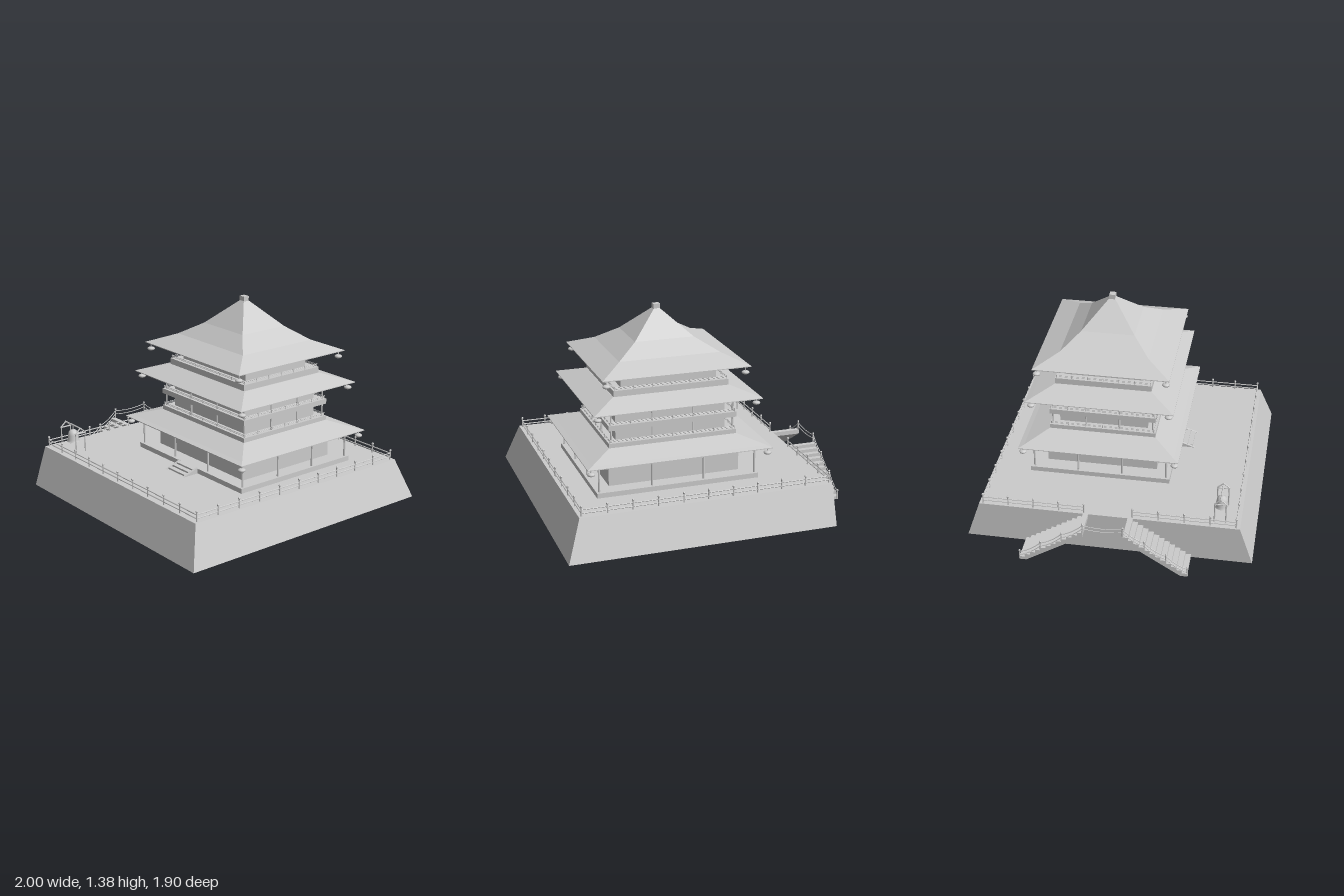
import * as THREE from 'three';

const mat = new THREE.MeshStandardMaterial({ color: 0xcccccc, flatShading: true });
const smooth = new THREE.MeshStandardMaterial({ color: 0xcccccc, side: THREE.DoubleSide });
const CX = 0.17, CZ = -0.13; // tower axis

function add(parent, name, geo, x = 0, y = 0, z = 0, m = mat) {
  const mesh = new THREE.Mesh(geo, m);
  mesh.name = name;
  mesh.position.set(x, y, z);
  parent.add(mesh);
  return mesh;
}

function group(parent, name, x = 0, y = 0, z = 0) {
  const g = new THREE.Group();
  g.name = name;
  g.position.set(x, y, z);
  parent.add(g);
  return g;
}

// Closed solid through horizontal rectangles [x0, x1, z0, z1, y], bottom to top
function loft(rects) {
  const rings = rects.map(([x0, x1, z0, z1, y]) =>
    [[x0, y, z1], [x1, y, z1], [x1, y, z0], [x0, y, z0]]);
  const pos = [];
  const quad = (a, b, c, d) => pos.push(...a, ...b, ...c, ...a, ...c, ...d);
  for (let r = 0; r + 1 < rings.length; r++) {
    for (let i = 0; i < 4; i++) {
      const j = (i + 1) % 4;
      quad(rings[r][i], rings[r][j], rings[r + 1][j], rings[r + 1][i]);
    }
  }
  const [a, b, c, d] = rings[0];
  quad(d, c, b, a);
  quad(...rings[rings.length - 1]);
  const geo = new THREE.BufferGeometry();
  geo.setAttribute('position', new THREE.Float32BufferAttribute(pos, 3));
  geo.computeVertexNormals();
  return geo;
}

// Same, centred on the axis, from [halfX, halfZ, y]
const tier = (rows) => loft(rows.map(([hx, hz, y]) => [-hx, hx, -hz, hz, y]));

// Round bar between two points
function bar(parent, name, a, b, r) {
  const from = new THREE.Vector3(...a), to = new THREE.Vector3(...b);
  const dir = to.clone().sub(from);
  const mesh = add(parent, name, new THREE.CylinderGeometry(r, r, dir.length(), 6));
  mesh.position.copy(from).add(to).multiplyScalar(0.5);
  mesh.quaternion.setFromUnitVectors(new THREE.Vector3(0, 1, 0), dir.normalize());
}

// Straight railing with evenly spaced, ball-topped posts
function railing(parent, a, b, y, n, h, r, levels) {
  const g = group(parent, 'railing');
  for (let i = 0; i <= n; i++) {
    const x = a[0] + (b[0] - a[0]) * i / n, z = a[1] + (b[1] - a[1]) * i / n;
    bar(g, 'railPost', [x, y, z], [x, y + h, z], r);
    add(g, 'postCap', new THREE.SphereGeometry(r * 1.7, 6, 5), x, y + h, z);
  }
  for (const l of levels) bar(g, 'rail', [a[0], y + l, a[1]], [b[0], y + l, b[1]], r * 0.8);
}

function railLoop(parent, hx, hz, y) {
  const c = [[-hx, -hz], [hx, -hz], [hx, hz], [-hx, hz]];
  c.forEach((p, i) => railing(parent, p, c[(i + 1) % 4], y, 6, 0.02, 0.0025, [0.009, 0.017]));
}

// Four columns per side
function columns(parent, hx, hz, y0, y1, r) {
  for (let i = 0; i < 4; i++) {
    for (let j = 0; j < 4; j++) {
      if (i % 3 && j % 3) continue;
      const x = hx * (i * 2 / 3 - 1), z = hz * (j * 2 / 3 - 1);
      bar(parent, 'column', [x, y0, z], [x, y1, z], r);
    }
  }
}

// Lanterns hung from the four eave corners
function lanterns(parent, hx, hz, y, top) {
  for (const sx of [-1, 1]) for (const sz of [-1, 1]) {
    const g = group(parent, 'eaveLantern', sx * hx, y, sz * hz);
    add(g, 'lanternBody', new THREE.SphereGeometry(0.026, 10, 6), 0, 0, 0, smooth).scale.y = 0.5;
    bar(g, 'lanternCord', [0, 0, 0], [0, top - y, 0], 0.003);
  }
}

// Side staircase climbing toward the middle; s picks the half
function staircase(parent, s) {
  const g = group(parent, 'sideStair');
  const n = 12, z0 = 0.55, z1 = 0.13, H = 0.265;
  const shape = new THREE.Shape();
  shape.moveTo(z0, 0);
  for (let i = 1; i <= n; i++) {
    shape.lineTo(z0 + (z1 - z0) * (i - 1) / n, H * i / n);
    shape.lineTo(z0 + (z1 - z0) * i / n, H * i / n);
  }
  shape.lineTo(z1, H - 0.03);
  shape.lineTo(z0 - 0.045, 0);
  const geo = new THREE.ExtrudeGeometry(shape, { depth: 0.2, bevelEnabled: false });
  const steps = add(g, 'steps', geo, s > 0 ? -0.8 : -1, 0, 0);
  steps.rotation.y = -s * Math.PI / 2;
  // Posts joined by sagging ropes
  const pts = [0, 1, 2, 3].map((i) => [-0.993, H * i / 3, s * (z0 + (z1 - z0) * i / 3)]);
  for (const [x, y, z] of pts) {
    bar(g, 'stairPost', [x, y, z], [x, y + 0.065, z], 0.005);
    add(g, 'postCap', new THREE.SphereGeometry(0.008, 6, 5), x, y + 0.065, z);
  }
  for (let i = 0; i < 3; i++) rope(g, pts[i], pts[i + 1]);
}

function rope(parent, a, b) {
  for (const h of [0.03, 0.055]) {
    const p = new THREE.Vector3(a[0], a[1] + h, a[2]), q = new THREE.Vector3(b[0], b[1] + h, b[2]);
    const mid = p.clone().add(q).multiplyScalar(0.5);
    mid.y -= 0.025;
    add(parent, 'rope', new THREE.TubeGeometry(new THREE.QuadraticBezierCurve3(p, mid, q), 8, 0.003, 5));
  }
}

export function createModel() {
  const model = new THREE.Group();
  model.name = 'pagoda';

  // Terrace with three sloping sides and one upright side
  add(model, 'terrace', loft([[-0.8, 1, -0.95, 0.95, 0], [-0.8, 0.905, -0.86, 0.86, 0.265]]));
  const rail = (a, b, n) => railing(model, a, b, 0.265, n, 0.065, 0.005, [0.02, 0.045]);
  rail([-0.785, 0.835], [0.885, 0.835], 10);
  rail([-0.785, -0.835], [0.885, -0.835], 10);
  rail([0.885, -0.835], [0.885, 0.835], 10);
  for (const s of [-1, 1]) {
    rail([-0.785, s * 0.835], [-0.785, s * 0.16], 4);
    staircase(model, s);
  }
  rope(model, [-0.993, 0.265, -0.13], [-0.993, 0.265, 0.13]);

  const tower = group(model, 'tower', CX, 0, CZ);

  // Ground floor
  add(tower, 'plinth', tier([[0.55, 0.475, 0.262], [0.55, 0.475, 0.298]]));
  add(tower, 'groundWalls', tier([[0.445, 0.375, 0.295], [0.445, 0.375, 0.47]]));
  columns(tower, 0.53, 0.45, 0.295, 0.47, 0.007);
  add(tower, 'lowerRoof', tier([[0.53, 0.45, 0.455], [0.625, 0.54, 0.485], [0.625, 0.54, 0.49],
    [0.59, 0.505, 0.5], [0.435, 0.36, 0.55]]));
  lanterns(tower, 0.597, 0.513, 0.45, 0.487);

  // Front steps between two sloping cheeks
  const front = group(tower, 'frontSteps', 0, 0, 0.475);
  for (let i = 0; i < 3; i++) {
    add(front, 'step', new THREE.BoxGeometry(0.17, 0.011 * (3 - i), 0.034),
      0, 0.265 + 0.0055 * (3 - i), 0.017 + 0.034 * i);
  }
  const cheek = new THREE.Shape([[0, 0], [0.115, 0], [0, 0.04]].map((p) => new THREE.Vector2(...p)));
  const cheekGeo = new THREE.ExtrudeGeometry(cheek, { depth: 0.016, bevelEnabled: false });
  for (const x of [-0.1, 0.084]) add(front, 'stepCheek', cheekGeo, x, 0.265, 0).rotation.y = -Math.PI / 2;
  front.children.filter((c) => c.name === 'stepCheek').forEach((c) => { c.position.x += 0.016; });

  // Middle storeys with two galleries
  add(tower, 'middleWalls', tier([[0.375, 0.3, 0.54], [0.375, 0.3, 0.82]]));
  for (const [y0, y1, top] of [[0.545, 0.58, 0.67], [0.665, 0.7, 0.81]]) {
    add(tower, 'gallery', tier([[0.435, 0.36, y0], [0.435, 0.36, y1]]));
    railLoop(tower, 0.425, 0.35, y1);
    columns(tower, 0.415, 0.34, y1, top, 0.006);
  }
  add(tower, 'middleRoof', tier([[0.435, 0.36, 0.795], [0.565, 0.495, 0.818], [0.565, 0.495, 0.823],
    [0.53, 0.46, 0.835], [0.395, 0.325, 0.88]]));
  lanterns(tower, 0.533, 0.46, 0.785, 0.82);

  // Top storey
  add(tower, 'topGallery', tier([[0.39, 0.325, 0.875], [0.39, 0.325, 0.92]]));
  railLoop(tower, 0.38, 0.315, 0.92);
  add(tower, 'topWalls', tier([[0.325, 0.26, 0.915], [0.325, 0.26, 1], [0.35, 0.285, 1.035]]));
  add(tower, 'topRoof', tier([[0.34, 0.275, 1.025], [0.495, 0.455, 1.03], [0.495, 0.455, 1.035],
    [0.34, 0.295, 1.1], [0.2, 0.18, 1.185], [0.02, 0.02, 1.35]]));
  lanterns(tower, 0.465, 0.43, 0.99, 1.03);
  add(tower, 'finial', new THREE.BoxGeometry(0.046, 0.04, 0.04), 0, 1.36, 0);

  // Bell in its gabled frame
  const bell = group(model, 'bellStand', -0.645, 0.265, 0.725);
  for (const x of [-0.092, 0.092]) {
    for (const s of [-1, 1]) {
      bar(bell, 'framePost', [x, 0, s * 0.037], [x, 0.135, s * 0.037], 0.005);
      bar(bell, 'frameRafter', [x, 0.135, s * 0.042], [x, 0.172, 0], 0.005);
    }
    bar(bell, 'frameTie', [x, 0.135, -0.042], [x, 0.135, 0.042], 0.005);
  }
  bar(bell, 'frameRidge', [-0.095, 0.172, 0], [0.095, 0.172, 0], 0.005);
  bar(bell, 'bellHanger', [0, 0.13, 0], [0, 0.172, 0], 0.005);
  const profile = [[0.045, 0.055], [0.038, 0.07], [0.037, 0.1], [0.03, 0.125], [0.016, 0.136], [0, 0.138]];
  add(bell, 'bell', new THREE.LatheGeometry(profile.map((p) => new THREE.Vector2(...p)), 16), 0, 0, 0, smooth);

  return model;
}
